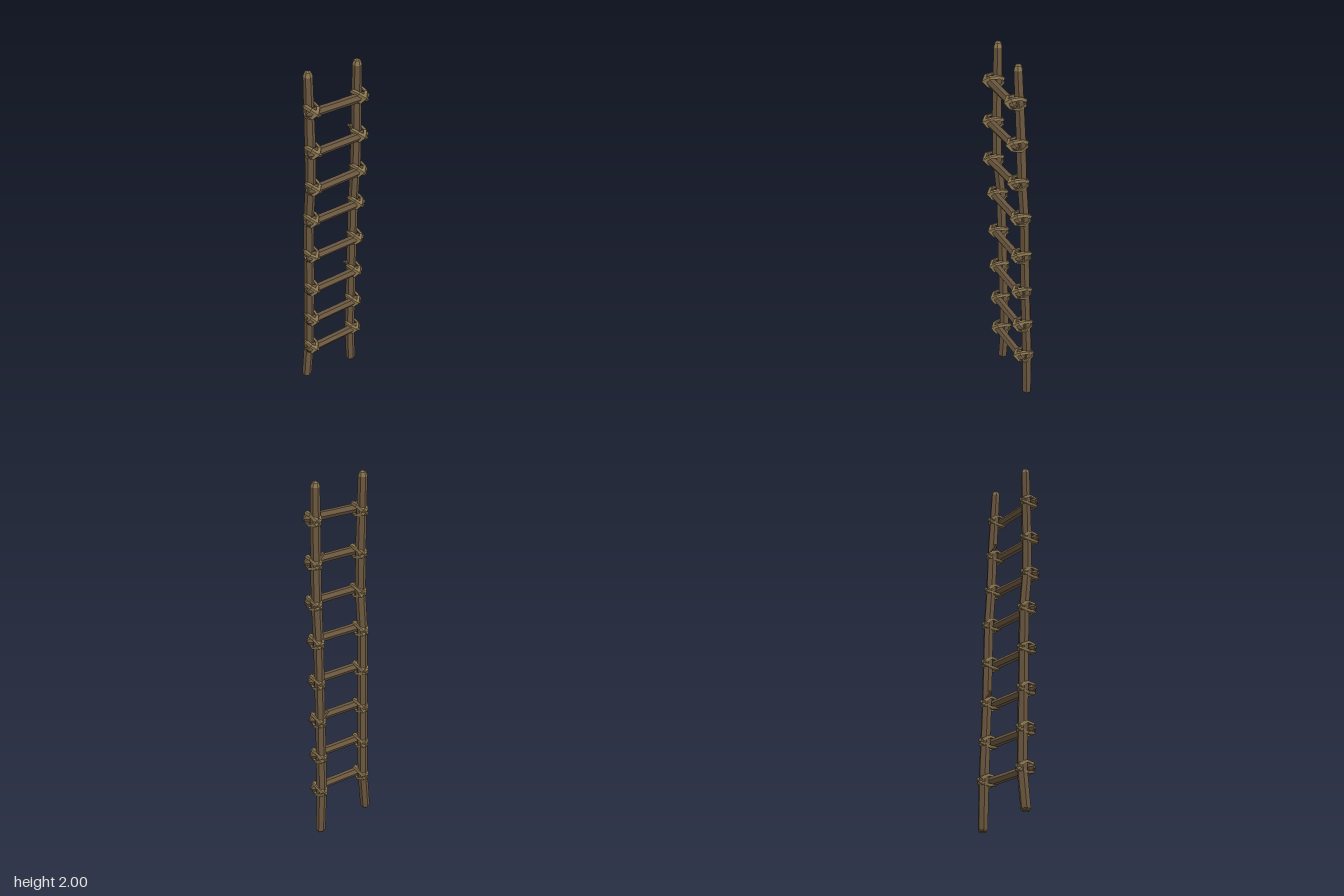
import * as THREE from 'three';

const wood = new THREE.MeshStandardMaterial({ color: 0x6a573f, flatShading: true });
wood.name = 'wood';
const rope = new THREE.MeshStandardMaterial({ color: 0x88744f, flatShading: true });
rope.name = 'rope and cut wood';

// Pole centre lines: x, y, z
const leftLine = [[0.15, 0.01, -0.04], [0.143, 0.26, -0.043], [0.14, 0.68, -0.03], [0.142, 1.14, -0.021],
  [0.142, 1.35, -0.006], [0.14, 1.6, 0], [0.131, 1.955, 0.013]];
const rightLine = [[-0.158, 0.05, -0.032], [-0.137, 0.26, -0.036], [-0.137, 0.68, -0.026], [-0.138, 1.14, -0.018],
  [-0.138, 1.35, 0.004], [-0.138, 1.6, 0.004], [-0.14, 1.965, -0.004]];
const rungHeights = [0.265, 0.47, 0.685, 0.91, 1.14, 1.35, 1.565, 1.79];

let seed = 7;
const jitter = (a) => {
  seed = (seed * 16807) % 2147483647;
  return (seed / 2147483647 - 0.5) * 2 * a;
};

// Upright cylinder whose rings follow a list of [x, y, z, radius]
function limb(rings, sides) {
  const n = rings.length - 1;
  const g = new THREE.CylinderGeometry(1, 1, 1, sides, n);
  const p = g.attributes.position;
  for (let i = 0; i < p.count; i++) {
    const [x, y, z, r] = rings[Math.round((p.getY(i) + 0.5) * n)];
    p.setXYZ(i, x + p.getX(i) * r, y, z + p.getZ(i) * r);
  }
  g.computeVertexNormals();
  return g;
}

function add(parent, name, geometry, material) {
  const mesh = new THREE.Mesh(geometry, material);
  mesh.name = name;
  parent.add(mesh);
  return mesh;
}

function pointAt(line, y) {
  let i = 0;
  while (i < line.length - 2 && line[i + 1][1] < y) i++;
  const a = new THREE.Vector3(...line[i]), b = new THREE.Vector3(...line[i + 1]);
  return a.clone().lerp(b, (y - a.y) / (b.y - a.y));
}

function addPole(parent, name, line) {
  const group = new THREE.Group();
  group.name = name;
  const rings = line.map(([x, y, z], i) => [x, y, z, i === line.length - 1 ? 0.024 : 0.027 + jitter(0.001)]);
  const [bx, by, bz] = line[0];
  rings.unshift([bx, by - 0.01, bz, 0.019]);
  add(group, name + 'Shaft', limb(rings, 6), wood);
  // Pointed cut top
  const [x, y, z] = line[line.length - 1];
  add(group, name + 'Tip', limb([[x, y, z, 0.024], [x, y + 0.022, z, 0.017], [x, y + 0.031, z, 0.001]], 6), rope);
  parent.add(group);
}

// Two crossed rope loops around a pole and a rung
function addLashing(parent, pole, y) {
  const group = new THREE.Group();
  group.name = 'lashing';
  group.position.set(pole.x, y, pole.z + 0.022);
  for (const s of [-1, 1]) {
    const loop = new THREE.TorusGeometry(0.052, 0.011, 4, 7);
    loop.scale(1, 0.76, 1.1);
    loop.rotateY(-Math.PI / 2);
    loop.rotateZ(s * Math.PI / 4 + jitter(0.12));
    loop.rotateX(-0.12 + jitter(0.08));
    add(group, 'ropeLoop', loop, rope);
  }
  parent.add(group);
}

export function createModel() {
  const ladder = new THREE.Group();
  ladder.name = 'ladder';
  addPole(ladder, 'leftPole', leftLine);
  addPole(ladder, 'rightPole', rightLine);

  for (const y of rungHeights) {
    const r = pointAt(rightLine, y), l = pointAt(leftLine, y);
    const mid = (r.x + l.x) / 2, half = (l.x - r.x) / 2;
    // Rung in front of the poles, with blunt tapered ends
    const rings = [[-half - 0.043, 0.008], [-half - 0.028, 0.021], [-half, 0.024], [0, 0.023],
      [half, 0.024], [half + 0.028, 0.021], [half + 0.043, 0.008]].map(([h, rad]) => [0, h, 0, rad]);
    const g = limb(rings, 6);
    g.rotateZ(-Math.PI / 2);
    const rung = add(ladder, 'rung', g, wood);
    rung.position.set(mid, y, (r.z + l.z) / 2 + 0.042);
    rung.rotation.y = -Math.atan2(l.z - r.z, half * 2);
    addLashing(ladder, r, y);
    addLashing(ladder, l, y);
  }

  // Broken twig stubs on the inside of the left pole
  for (const y of [0.715, 1.595]) {
    const p = pointAt(leftLine, y);
    const stub = add(ladder, 'twigStub', new THREE.CylinderGeometry(0.009, 0.016, 0.05, 5), wood);
    stub.position.set(p.x - 0.022, y + 0.006, p.z - 0.008);
    stub.rotation.z = 0.95;
  }
  return ladder;
}
